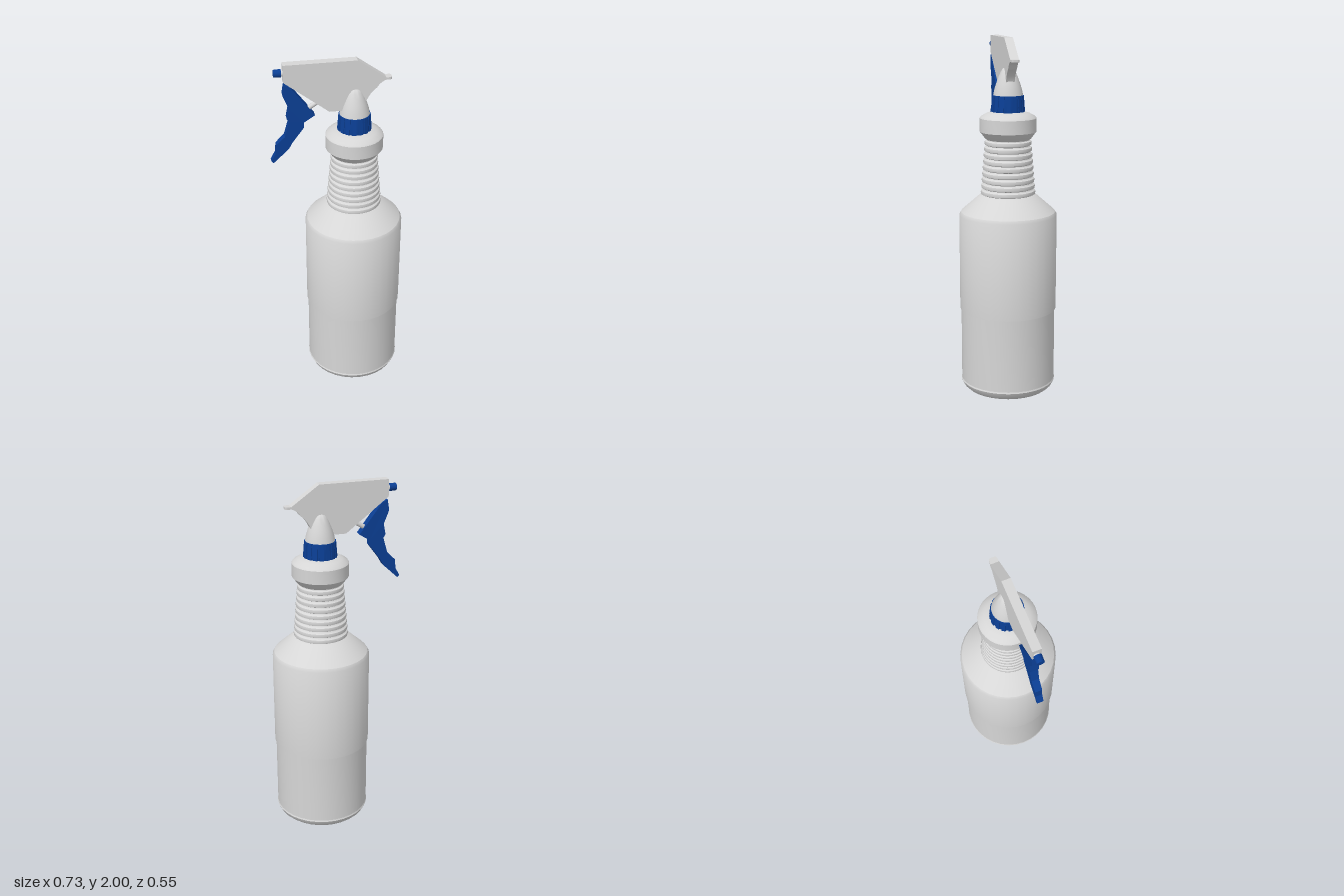
import * as THREE from 'three';
import { toCreasedNormals } from 'three/addons/utils/BufferGeometryUtils.js';

const AXIS_X = 0.09; // centre line of the bottle

export function createModel() {
  const plastic = new THREE.MeshStandardMaterial({ color: 0xd6d6d6 });
  plastic.name = 'pale grey plastic';
  const blue = new THREE.MeshStandardMaterial({ color: 0x0b3f95 });
  blue.name = 'blue plastic';

  const model = new THREE.Group();
  model.name = 'sprayBottle';

  const add = (name, geometry, material, x = 0, y = 0, z = 0) => {
    const mesh = new THREE.Mesh(geometry, material);
    mesh.name = name;
    mesh.position.set(x, y, z);
    model.add(mesh);
    return mesh;
  };

  // Turned part around the bottle axis, profile given from bottom to top as [radius, y]
  const turn = (name, profile, material, segments = 32) => {
    const points = profile.map(([r, y]) => new THREE.Vector2(r, y));
    const geometry = toCreasedNormals(new THREE.LatheGeometry(points, segments), 0.6);
    return add(name, geometry, material, AXIS_X);
  };

  // Flat part cut from an outline in x and y, centred on z = 0
  const plate = (outline, thickness) => {
    const shape = outline instanceof THREE.Shape
      ? outline : new THREE.Shape(outline.map(([x, y]) => new THREE.Vector2(x, y)));
    const geometry = new THREE.ExtrudeGeometry(shape, { depth: thickness, bevelEnabled: false, curveSegments: 10 });
    return geometry.translate(0, 0, -thickness / 2);
  };

  // Bottle: rounded foot, lower wall and the slightly wider upper wall
  turn('bottleFoot', [[0, 0], [0.21, 0], [0.238, 0.008], [0.258, 0.026], [0.27, 0.052], [0.267, 0.06]], plastic);
  turn('lowerBody', [[0.267, 0.06], [0.267, 0.48]], plastic);
  turn('upperBody', [[0.267, 0.48], [0.274, 0.48], [0.274, 1.025], [0.264, 1.042]], plastic);
  turn('shoulder', [[0.264, 1.042], [0.158, 1.135], [0.14, 1.14]], plastic);

  // Ribbed grip on the neck
  const grip = [];
  const ribs = 9, pitch = 0.0345;
  for (let i = 0; i < ribs; i++) {
    const y = 1.138 + i * pitch;
    const r = 0.153 - i * 0.0028;
    grip.push([r - 0.012, y], [r - 0.002, y + 0.005], [r, y + pitch * 0.42],
      [r - 0.002, y + pitch * 0.7], [r - 0.012, y + pitch * 0.85]);
  }
  grip.push([0.118, 1.45]);
  turn('ribbedNeck', grip, plastic);

  // Collar under the cap
  turn('collar', [[0.118, 1.447], [0.128, 1.453], [0.152, 1.485], [0.157, 1.49], [0.157, 1.565],
    [0.15, 1.574], [0.122, 1.59], [0.09, 1.6], [0, 1.6]], plastic);

  // Screw cap with grip ribs
  turn('screwCap', [[0.088, 1.598], [0.09, 1.615], [0.083, 1.69], [0, 1.692]], blue);
  const capRibs = new THREE.Group();
  capRibs.name = 'capRibs';
  capRibs.position.x = AXIS_X;
  const ribGeometry = new THREE.BoxGeometry(0.022, 0.088, 0.012);
  for (let i = 0; i < 16; i++) {
    const pivot = new THREE.Group();
    pivot.rotation.y = ((i + 0.5) / 16) * Math.PI * 2;
    const rib = new THREE.Mesh(ribGeometry, blue);
    rib.name = 'capRib';
    rib.position.set(0, 1.644, 0.0835);
    rib.rotation.x = -0.08;
    pivot.add(rib);
    capRibs.add(pivot);
  }
  model.add(capRibs);

  // Domed cone that carries the spray head
  turn('headCone', [[0.082, 1.69], [0.076, 1.72], [0.066, 1.752], [0.054, 1.785],
    [0.041, 1.815], [0.03, 1.833], [0.016, 1.843], [0, 1.846]], plastic);

  // Spray head
  const head = new THREE.Shape();
  head.moveTo(-0.29, 2);
  head.lineTo(-0.29, 1.905);
  head.lineTo(-0.05, 1.72);
  head.lineTo(0.135, 1.72);
  head.quadraticCurveTo(0.15, 1.8, 0.205, 1.84);
  head.quadraticCurveTo(0.225, 1.872, 0.255, 1.88);
  head.lineTo(0.255, 1.89);
  head.lineTo(0.1, 2);
  head.closePath();
  add('sprayHead', toCreasedNormals(plate(head, 0.048), 0.5), plastic);

  // Rounded lip at the rear of the head
  const lip = new THREE.Shape();
  lip.moveTo(0.24, -0.022);
  lip.lineTo(0.274, -0.022);
  lip.quadraticCurveTo(0.286, -0.02, 0.286, -0.008);
  lip.lineTo(0.286, 0.008);
  lip.quadraticCurveTo(0.286, 0.02, 0.274, 0.022);
  lip.lineTo(0.24, 0.022);
  lip.closePath();
  add('rearLip', plate(lip, 0.013).rotateX(-Math.PI / 2), plastic, 0, 1.885, 0);

  // Nozzle and its seat
  add('nozzleSeat', new THREE.CylinderGeometry(0.018, 0.018, 0.02, 20).rotateZ(Math.PI / 2), plastic, -0.293, 1.95, 0);
  add('nozzle', new THREE.CylinderGeometry(0.022, 0.02, 0.04, 20).rotateZ(-Math.PI / 2), blue, -0.318, 1.95, 0);

  // Trigger, narrowing towards its tip
  const trigger = plate([[-0.285, 1.888], [-0.295, 1.83], [-0.265, 1.755], [-0.277, 1.695], [-0.265, 1.675],
    [-0.29, 1.59], [-0.337, 1.543], [-0.343, 1.49], [-0.367, 1.447], [-0.355, 1.435],
    [-0.27, 1.515], [-0.25, 1.552], [-0.186, 1.638], [-0.186, 1.668], [-0.127, 1.706],
    [-0.255, 1.875]], 0.048);
  const p = trigger.attributes.position;
  for (let i = 0; i < p.count; i++) {
    const t = THREE.MathUtils.clamp((p.getY(i) - 1.435) / 0.3, 0, 1);
    p.setZ(i, p.getZ(i) * THREE.MathUtils.lerp(0.72, 1, t));
  }
  trigger.computeVertexNormals();
  add('trigger', trigger, blue);

  // Push rod between trigger and head
  const rodStart = new THREE.Vector3(-0.185, 1.725, 0);
  const rodEnd = new THREE.Vector3(-0.08, 1.79, 0);
  add('pushRod', new THREE.TubeGeometry(new THREE.LineCurve3(rodStart, rodEnd), 1, 0.013, 14), plastic);

  return model;
}
